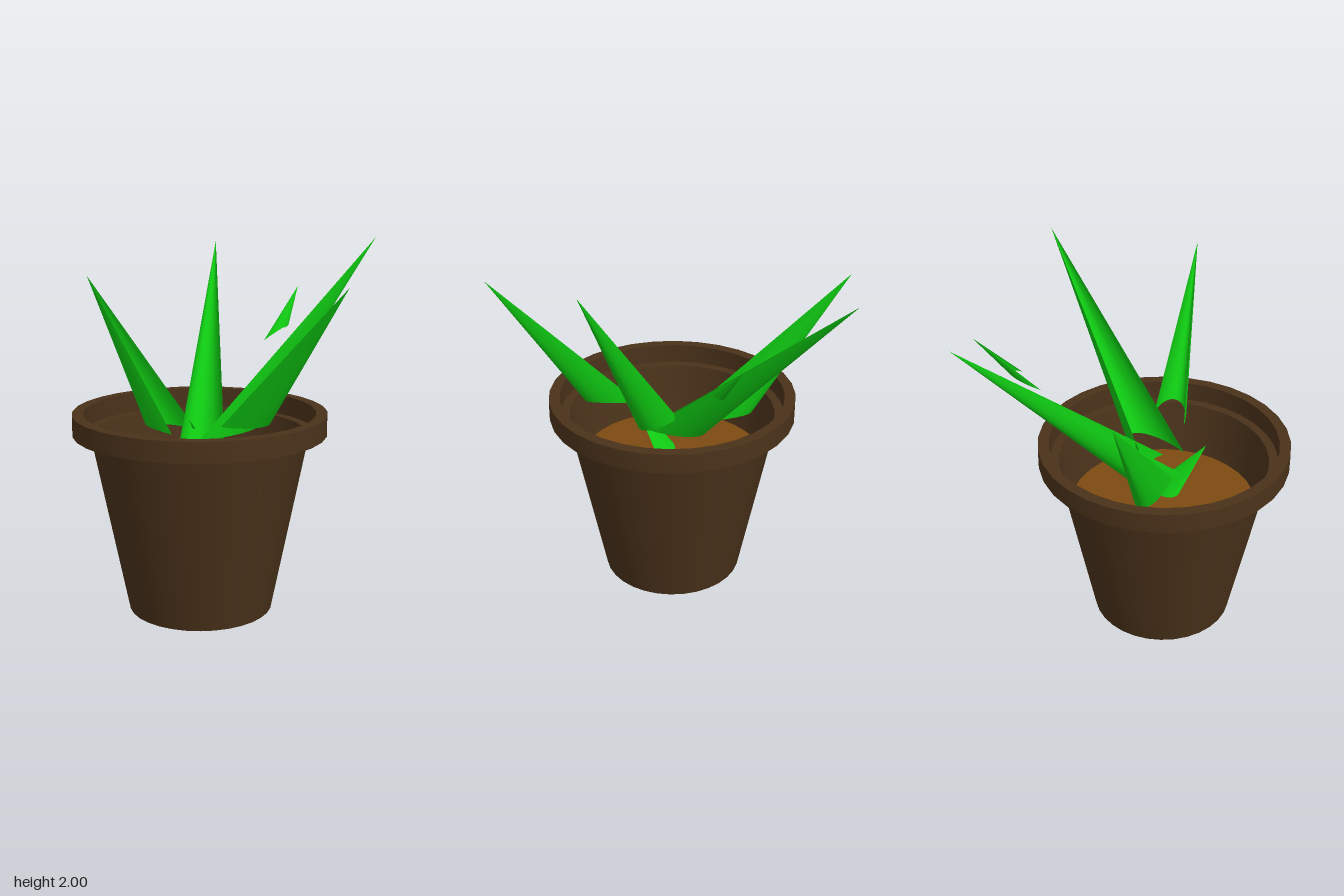
import * as THREE from 'three';
import { toCreasedNormals } from 'three/addons/utils/BufferGeometryUtils.js';

const brown = new THREE.MeshStandardMaterial({ color: 0x4a321a, side: THREE.DoubleSide });
const earth = new THREE.MeshStandardMaterial({ color: 0x7d4a10 });
const green = new THREE.MeshStandardMaterial({ color: 0x0fc812, side: THREE.DoubleSide });

// Trough-shaped leaf: a crescent base (two edge corners and an outer point) drawn to a tip
function leafGeometry(tip, edgeA, edgeB, outer, segments = 14) {
  const [t, a, b, o] = [tip, edgeA, edgeB, outer].map((p) => new THREE.Vector3(...p));
  const mid = a.clone().add(b).multiplyScalar(0.5);
  const half = b.clone().sub(mid);
  const depth = o.clone().sub(mid);
  const arc = (i, k) => {
    const angle = (Math.PI * i) / segments;
    return mid.clone().addScaledVector(half, -Math.cos(angle)).addScaledVector(depth, k * Math.sin(angle));
  };
  const points = [];
  for (let i = 0; i < segments; i++) {
    const o0 = arc(i, 1), o1 = arc(i + 1, 1), i0 = arc(i, 0.8), i1 = arc(i + 1, 0.8);
    points.push(o0, o1, t, i1, i0, t); // outer and inner skins
    if (i > 0) points.push(o0, i0, i1); // crescent end
    if (i < segments - 1) points.push(o0, i1, o1);
  }
  // wind outward: the outer skin must face away from the trough
  const n = points[1].clone().sub(points[0]).cross(t.clone().sub(points[0]));
  if (n.dot(arc(0, 1).sub(mid)) < 0) {
    for (let i = 0; i < points.length; i += 3) [points[i], points[i + 1]] = [points[i + 1], points[i]];
  }
  const geometry = new THREE.BufferGeometry().setFromPoints(points);
  return toCreasedNormals(geometry, 0.7);
}

export function createModel() {
  const model = new THREE.Group();
  const add = (name, geometry, material, parent = model) => {
    const mesh = new THREE.Mesh(geometry, material);
    mesh.name = name;
    parent.add(mesh);
    return mesh;
  };

  // Pot: base, tapered wall, square rim, inner ledge and inner wall
  const profile = [
    [0, 0], [0.39, 0], [0.585, 0.98], [0.68, 0.98], [0.68, 1.09],
    [0.62, 1.09], [0.62, 0.98], [0.57, 0.98], [0.51, 0.68],
  ].map(([r, y]) => new THREE.Vector2(r, y));
  const potGroup = new THREE.Group();
  potGroup.name = 'pot';
  potGroup.position.x = -0.155;
  model.add(potGroup);
  add('potShell', toCreasedNormals(new THREE.LatheGeometry(profile, 32), 0.5), brown, potGroup);

  // Soil surface
  const soil = add('soil', new THREE.CircleGeometry(0.515, 32), earth, potGroup);
  soil.rotation.x = -Math.PI / 2;
  soil.position.y = 0.69;

  // Leaves: tip, two edge corners, outer point
  const leaves = {
    frontLeaf: [[-0.135, 1.82, 0.97], [-0.22, 1.05, 0.22], [-0.05, 1.1, 0.21], [-0.135, 1.09, 0.48]],
    backLeaf: [[-0.12, 1.74, -0.97], [-0.23, 0.95, -0.14], [-0.05, 0.95, -0.14], [-0.13, 0.95, -0.45]],
    frontLeftLeaf: [[0.605, 2, 0.56], [-0.25, 0.96, 0.09], [-0.02, 1, -0.01], [0.07, 1, 0.21]],
    backLeftLeaf: [[0.71, 1.91, -0.735], [-0.29, 0.89, -0.03], [-0.12, 0.89, 0.15], [-0.01, 0.89, -0.15]],
    brokenLeafTip: [[0.825, 1.67, -0.165], [0.485, 1.385, -0.125], [0.6, 1.45, -0.07], [0.65, 1.45, -0.115]],
    leafStub: [[-0.355, 0.96, 0.19], [-0.24, 0.74, 0], [-0.1, 0.74, 0.1], [-0.14, 0.72, 0]],
  };
  for (const [name, corners] of Object.entries(leaves)) add(name, leafGeometry(...corners), green);

  return model;
}
